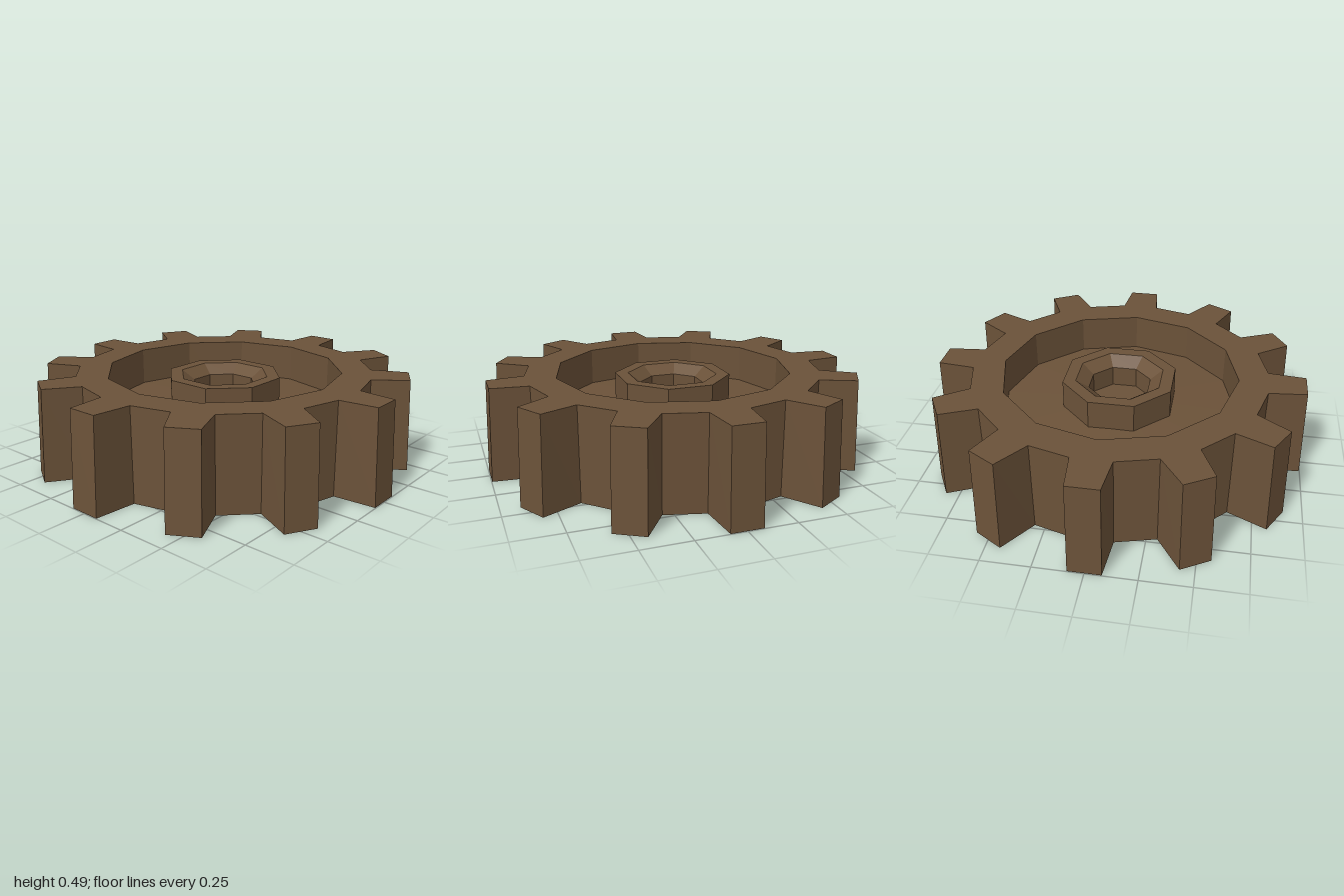
import * as THREE from 'three';

const HEIGHT = 0.49;
const TEETH = 12;

export function createModel() {
  const gear = new THREE.Group();
  gear.name = 'gear';
  const brown = new THREE.MeshStandardMaterial({ color: 0x6b5239, flatShading: true });
  brown.name = 'brown';

  const add = (name, geometry) => {
    const mesh = new THREE.Mesh(geometry, brown);
    mesh.name = name;
    gear.add(mesh);
  };
  const lathe = (profile, sides, turn = 0) =>
    new THREE.LatheGeometry(profile.map(([r, y]) => new THREE.Vector2(r, y)), sides, turn);

  // Toothed rim: four outline corners per tooth, with an open centre
  const outline = [];
  for (let i = 0; i < TEETH; i++) {
    const angle = (i / TEETH) * Math.PI * 2;
    for (const [out, side] of [[0.78, -0.1], [0.997, -0.082], [0.997, 0.082], [0.78, 0.1]]) {
      outline.push(new THREE.Vector2(out, side).rotateAround(new THREE.Vector2(), angle));
    }
  }
  const rimShape = new THREE.Shape(outline);
  const hole = [];
  for (let i = 0; i < 12; i++) {
    const angle = (-i / 12) * Math.PI * 2;
    hole.push(new THREE.Vector2(Math.cos(angle) * 0.63, Math.sin(angle) * 0.63));
  }
  rimShape.holes.push(new THREE.Path(hole));
  const rim = new THREE.ExtrudeGeometry(rimShape, { depth: HEIGHT, bevelEnabled: false });
  rim.rotateX(-Math.PI / 2);

  // Tooth tips lean in slightly towards the top
  const p = rim.attributes.position;
  for (let i = 0; i < p.count; i++) {
    if (Math.hypot(p.getX(i), p.getZ(i)) > 0.9 && p.getY(i) > 0.4) {
      p.setX(i, p.getX(i) * 0.98);
      p.setZ(i, p.getZ(i) * 0.98);
    }
  }
  rim.computeVertexNormals();
  add('toothedRim', rim);

  // Recessed plate joining hub and rim
  add('web', lathe([[0.28, 0.21], [0.63, 0.2], [0.63, 0.29], [0.28, 0.31]], 12));

  // Eight-sided hub with a chamfered blind bore on both faces
  add('hub', lathe([
    [0, 0.2], [0.17, 0.2], [0.17, 0.08], [0.24, 0.04], [0.31, 0.04],
    [0.31, 0.46], [0.24, 0.46], [0.17, 0.41], [0.17, 0.3], [0, 0.3],
  ], 8, Math.PI / 8));

  return gear;
}
